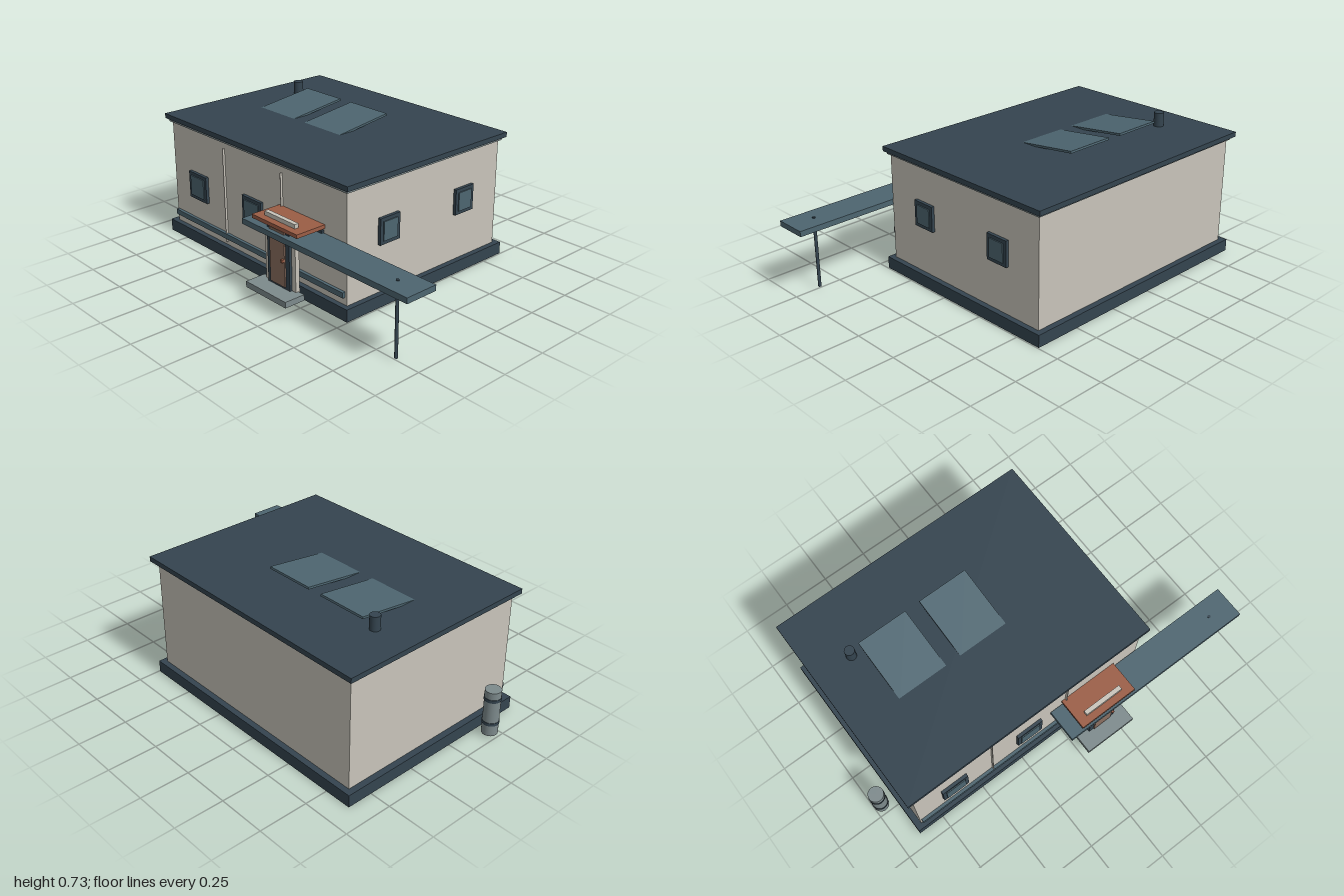
import * as THREE from 'three';

const mat = (name, color) => {
  const m = new THREE.MeshStandardMaterial({ color });
  m.name = name;
  return m;
};

export function createModel() {
  const model = new THREE.Group();
  model.name = 'house';
  const slate = mat('dark slate', 0x34444f);
  const blue = mat('blue grey', 0x4d6570);
  const plaster = mat('plaster', 0xc8c4ba);
  const grey = mat('grey', 0x7d8a8c);
  const rust = mat('rust', 0x9b5d45);
  const brown = mat('door brown', 0x8a6e5f);

  const add = (name, geometry, material, parent = model) => {
    const mesh = new THREE.Mesh(geometry, material);
    mesh.name = name;
    parent.add(mesh);
    return mesh;
  };
  // Box given by its limits on each axis
  const box = (name, material, [x0, x1], [y0, y1], [z0, z1], parent) => {
    const mesh = add(name, new THREE.BoxGeometry(x1 - x0, y1 - y0, z1 - z0), material, parent);
    mesh.position.set((x0 + x1) / 2, (y0 + y1) / 2, (z0 + z1) / 2);
    return mesh;
  };
  const cylinder = (name, material, r, x, [y0, y1], z) => {
    const mesh = add(name, new THREE.CylinderGeometry(r, r, y1 - y0, 24), material);
    mesh.position.set(x, (y0 + y1) / 2, z);
    return mesh;
  };

  // Main building
  box('foundation', slate, [-0.89, 0.495], [0, 0.063], [-0.632, 0.435]);
  box('walls', plaster, [-0.858, 0.467], [0.063, 0.616], [-0.602, 0.408]);
  box('eaveTrim', grey, [-0.873, 0.48], [0.616, 0.631], [-0.614, 0.42]);
  box('roof', slate, [-0.89, 0.495], [0.631, 0.656], [-0.632, 0.432]);

  // Front wall stripe and thin panel joints
  box('wallStripe', blue, [-0.85, 0.455], [0.102, 0.13], [0.408, 0.424]);
  for (const x of [-0.418, 0.025])
    box('panelJoint', plaster, [x - 0.002, x + 0.002], [0.082, 0.582], [0.408, 0.42]);

  // Windows: frame and raised pane, facing +z before turning
  const addWindow = (x, y, z, w, h, turn) => {
    const g = new THREE.Group();
    g.name = 'window';
    box('windowFrame', slate, [-w / 2, w / 2], [-h / 2, h / 2], [0, 0.016], g);
    box('windowPane', blue, [-w / 2 + 0.018, w / 2 - 0.018], [-h / 2 + 0.018, h / 2 - 0.018], [0.016, 0.021], g);
    g.position.set(x, y, z);
    g.rotation.y = turn;
    model.add(g);
  };
  for (const x of [-0.64, -0.196, 0.243]) addWindow(x, 0.316, 0.408, 0.145, 0.142, 0);
  for (const z of [0.155, -0.351]) addWindow(0.467, 0.373, z, 0.125, 0.132, Math.PI / 2);

  // Entrance
  box('entrancePanel', plaster, [0.053, 0.266], [0.042, 0.437], [0.515, 0.538]);
  box('doorFrame', slate, [0.085, 0.24], [0.1, 0.398], [0.538, 0.552]);
  box('door', brown, [0.11, 0.214], [0.112, 0.385], [0.552, 0.559]);
  box('doorHandle', rust, [0.202, 0.214], [0.24, 0.254], [0.559, 0.573]);
  box('doorStep', grey, [0.02, 0.305], [0.069, 0.099], [0.522, 0.633]);
  box('doorAwning', rust, [0.003, 0.321], [0.397, 0.416], [0.408, 0.573]);

  // Long canopy on two posts
  box('canopy', blue, [-0.065, 1], [0.347, 0.375], [0.412, 0.58]);
  for (const x of [0.067, 0.867]) cylinder('canopyPost', slate, 0.008, x, [0.01, 0.379], 0.498);

  // Roof equipment
  for (const x of [-0.501, -0.157]) {
    const panel = add('solarPanel', new THREE.BoxGeometry(0.264, 0.011, 0.333), blue);
    panel.position.set(x, 0.67, -0.154);
    panel.rotation.x = 0.125;
  }
  cylinder('chimney', slate, 0.025, -0.689, [0.65, 0.727], -0.302);

  // Tank with two straps
  cylinder('tank', grey, 0.039, -0.96, [0.016, 0.253], 0.2);
  for (const y of [0.08, 0.208]) cylinder('tankStrap', slate, 0.041, -0.96, [y - 0.008, y + 0.008], 0.2);

  return model;
}
